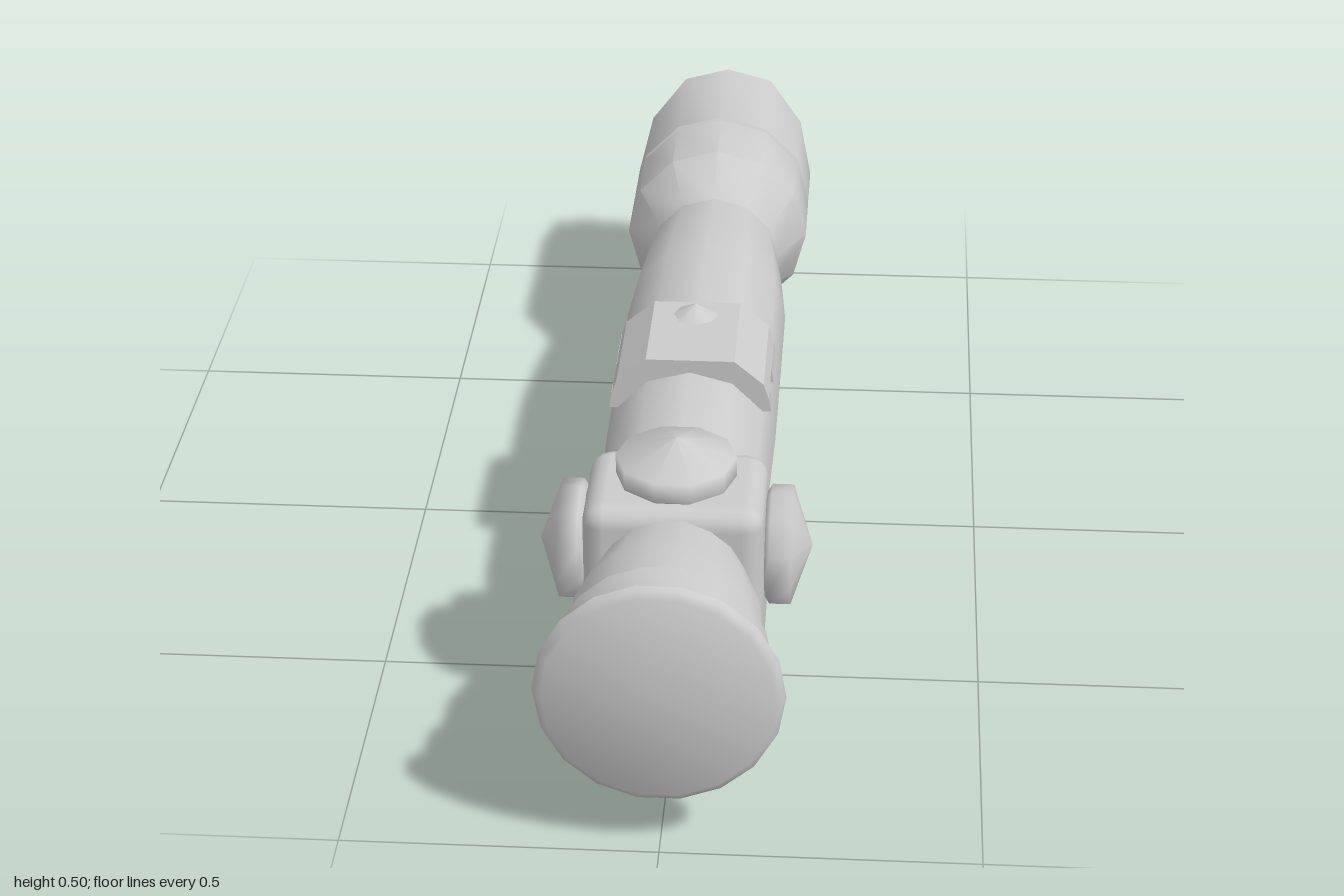
import * as THREE from 'three';
import { toCreasedNormals } from 'three/addons/utils/BufferGeometryUtils.js';
import { RoundedBoxGeometry } from 'three/addons/geometries/RoundedBoxGeometry.js';

const AXIS_Y = 0.285; // height of the optical axis

export function createModel() {
  const group = new THREE.Group();
  const material = new THREE.MeshStandardMaterial({ color: 0xcccccc, side: THREE.DoubleSide });

  const add = (name, geometry, x = 0, y = 0, z = 0) => {
    const mesh = new THREE.Mesh(geometry, material);
    mesh.name = name;
    mesh.position.set(x, y, z);
    group.add(mesh);
    return mesh;
  };

  // Turned part along z from [radius, z] points, listed from back to front
  const turned = (points, sides, start = 0) =>
    new THREE.LatheGeometry(points.map(p => new THREE.Vector2(...p)), sides, start).rotateX(Math.PI / 2);

  const shapeOf = points => new THREE.Shape(points.map(p => new THREE.Vector2(...p)));

  // Side outline of [z, y] points given a width across x
  const sidePlate = (points, width, bevel = 0) => {
    const g = new THREE.ExtrudeGeometry(shapeOf(points), {
      depth: width - 2 * bevel, bevelEnabled: bevel > 0, bevelSize: bevel,
      bevelThickness: bevel, bevelOffset: -bevel, bevelSegments: 2,
    });
    return g.rotateY(-Math.PI / 2).translate(width / 2 - bevel, 0, 0);
  };

  // Front bell with its flared, closed cap
  add('frontBell', toCreasedNormals(turned([
    [0.115, 0.64], [0.12, 0.68], [0.153, 0.8], [0.156, 0.885],
  ], 18, Math.PI / 18), 0.6), 0, AXIS_Y);
  add('frontCap', toCreasedNormals(turned([
    [0.15, 0.885], [0.168, 0.89], [0.173, 0.965], [0.193, 0.982], [0.19, 0.992], [0.178, 1], [0, 1],
  ], 18, Math.PI / 18), 0.75), 0, AXIS_Y);

  // Main tube and rear bell
  add('mainTube', turned([
    [0.12, -0.5], [0.133, -0.39], [0.145, -0.25], [0.145, 0.2], [0.141, 0.4], [0.122, 0.48],
  ], 12), 0, AXIS_Y);
  add('rearBell', toCreasedNormals(turned([
    [0.16, -0.752], [0.172, -0.748], [0.172, -0.6], [0.12, -0.5], [0.115, -0.49],
  ], 12), 0.6), 0, AXIS_Y);

  // Eyecup: its rear rim is cut back along a curve from top to bottom
  const R = 0.172;
  const rimZ = [-1, -1, -0.943, -0.882, -0.857, -0.842, -0.835];
  const cup = turned([[R, -1], [R, -0.762], [0.16, -0.752]], 12);
  const cp = cup.attributes.position;
  for (let i = 0; i < cp.count; i++) {
    if (cp.getZ(i) > -0.99) continue;
    const angle = Math.acos(THREE.MathUtils.clamp(cp.getY(i) / R, -1, 1));
    cp.setZ(i, rimZ[Math.round(angle / (Math.PI / 6))]);
  }
  add('eyecup', toCreasedNormals(cup, 0.6), 0, AXIS_Y);

  // Curved lens face closing the cut rim
  const lens = new THREE.PlaneGeometry(2, 2, 1, 6);
  const lp = lens.attributes.position;
  for (let i = 0; i < lp.count; i++) {
    const row = Math.floor(i / 2);
    const a = row * Math.PI / 6;
    lp.setXYZ(i, -Math.sign(lp.getX(i)) * R * Math.sin(a), R * Math.cos(a), rimZ[row]);
  }
  lens.computeVertexNormals();
  add('eyecupLens', lens, 0, AXIS_Y);

  // Turret block with three domed knobs
  add('turretBlock', new RoundedBoxGeometry(0.29, 0.3, 0.215, 2, 0.035), 0, 0.27, 0.575);
  const knob = new THREE.LatheGeometry(
    [[0.085, 0], [0.097, 0.008], [0.097, 0.042], [0, 0.075]].map(p => new THREE.Vector2(...p)), 10, Math.PI / 10);
  add('topKnob', knob, 0, 0.422, 0.575);
  for (const s of [-1, 1]) {
    add(s > 0 ? 'leftKnob' : 'rightKnob', knob, s * 0.145, 0.305, 0.575).rotation.z = -s * Math.PI / 2;
  }

  // Saddle cover over the tube, with notched lower edges and a small button
  const saddle = new THREE.ExtrudeGeometry(shapeOf([
    [-0.134, 0.383], [-0.125, 0.41], [-0.075, 0.452], [0.075, 0.452], [0.125, 0.41], [0.134, 0.383],
  ]), { depth: 0.215, bevelEnabled: false });
  add('saddleCover', saddle, 0, 0, 0.02);
  for (const s of [-1, 1]) {
    for (const [z0, z1] of [[0.02, 0.13], [0.2, 0.235]]) {
      const tab = shapeOf([[s * 0.1, 0.385], [s * 0.115, 0.358], [s * 0.138, 0.358], [s * 0.134, 0.385]]);
      add('saddleTab', new THREE.ExtrudeGeometry(tab, { depth: z1 - z0, bevelEnabled: false }), 0, 0, z0);
    }
  }
  add('saddleButton', new THREE.ConeGeometry(0.045, 0.025, 8), 0, 0.461, 0.065);

  // Mount rail, narrower towards its foot
  const rail = sidePlate([
    [0.53, 0], [0.538, 0.04], [0.525, 0.075], [0.475, 0.115],
    [-0.165, 0.115], [-0.205, 0.08], [-0.215, 0.035], [-0.195, 0],
  ], 0.144, 0.018);
  const rp = rail.attributes.position;
  for (let i = 0; i < rp.count; i++) {
    rp.setX(i, rp.getX(i) * (0.86 + 0.14 * Math.min(1, rp.getY(i) / 0.07)));
  }
  rail.computeVertexNormals();
  add('mountRail', toCreasedNormals(rail, 0.6));

  // Feet joining rail and tube
  for (const z of [0.31, -0.02]) {
    add('mountFoot', new THREE.BoxGeometry(0.11, 0.07, 0.15), 0, 0.125, z);
  }

  // Clamp plates and hexagonal bolts on both sides
  const upperPlate = sidePlate([[0.42, 0.068], [0.42, 0.122], [-0.095, 0.122], [-0.095, 0.068]], 0.03);
  const lowerPlate = sidePlate(
    [[0.33, 0.07], [0.3, 0.025], [0.27, 0.01], [-0.02, 0.01], [-0.045, 0.025], [-0.07, 0.07]], 0.03);
  for (const s of [-1, 1]) {
    add('upperClampPlate', upperPlate, s * 0.063);
    add('lowerClampPlate', lowerPlate, s * 0.064);
    for (const [z, y, r, x] of [[0.38, 0.107, 0.034, 0.076], [-0.055, 0.107, 0.034, 0.076], [0.055, 0.06, 0.026, 0.071]]) {
      const hex = toCreasedNormals(new THREE.CylinderGeometry(r, r, 0.03, 6).rotateZ(Math.PI / 2), 0.6);
      add('clampBolt', hex, s * x, y, z);
    }
  }
  return group;
}
